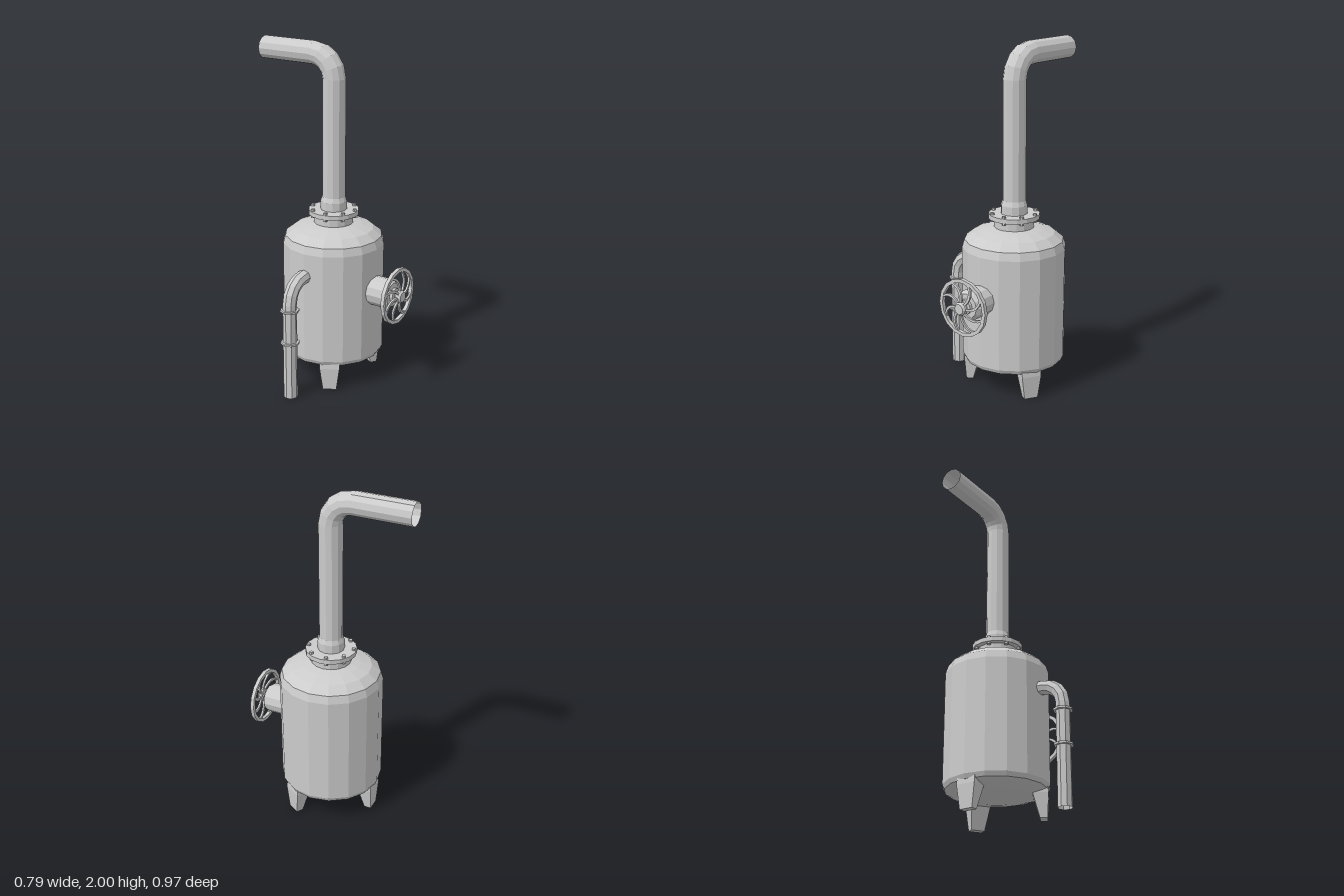
import * as THREE from 'three';

const grey = new THREE.MeshStandardMaterial({ color: 0xcccccc, flatShading: true });
const thin = new THREE.MeshStandardMaterial({ color: 0xcccccc, flatShading: true, side: THREE.DoubleSide });

function add(parent, name, geometry, material = grey) {
  const mesh = new THREE.Mesh(geometry, material);
  mesh.name = name;
  parent.add(mesh);
  return mesh;
}

// Revolved solid from [radius, height] pairs, listed bottom to top
function lathe(points, sides) {
  return new THREE.LatheGeometry(points.map(([r, y]) => new THREE.Vector2(r, y)), sides);
}

// Open pipe: rises by `rise`, bends towards +x, then runs on by `run`
function bentPipe(radius, sides, rise, bend, run, steps) {
  const rows = steps + 2;
  const geo = new THREE.CylinderGeometry(radius, radius, rows, sides, rows, true);
  const pos = geo.attributes.position;
  for (let i = 0; i < pos.count; i++) {
    const row = Math.round(pos.getY(i) + rows / 2);
    const a = THREE.MathUtils.clamp((row - 1) / steps, 0, 1) * Math.PI / 2;
    let cx = bend * (1 - Math.cos(a));
    let cy = rise + bend * Math.sin(a);
    if (row === 0) cy = 0;
    if (row === rows) cx += run;
    const off = pos.getX(i);
    pos.setXY(i, cx + off * Math.cos(a), cy - off * Math.sin(a));
  }
  geo.computeVertexNormals();
  return geo;
}

// Curved spoke, swept backwards and dished towards the hub
function spokeGeometry() {
  const left = [], right = [], n = 6;
  for (let i = 0; i <= n; i++) {
    const t = i / n, r = 0.025 + 0.125 * t, a = 0.55 * t * t;
    const half = (0.006 + 0.004 * t) / r;
    left.push(new THREE.Vector2(r * Math.cos(a + half), r * Math.sin(a + half)));
    right.unshift(new THREE.Vector2(r * Math.cos(a - half), r * Math.sin(a - half)));
  }
  const geo = new THREE.ExtrudeGeometry(new THREE.Shape([...left, ...right]), { depth: 0.012, bevelEnabled: false });
  const pos = geo.attributes.position;
  for (let i = 0; i < pos.count; i++) {
    const r = Math.hypot(pos.getX(i), pos.getY(i));
    pos.setZ(i, pos.getZ(i) + 0.44 + 0.022 * (1 - r / 0.15));
  }
  return geo;
}

// Tapered leg, outer face nearly upright, placed outwards along +z
function legGeometry() {
  const geo = new THREE.BoxGeometry(1, 1, 1, 1, 2, 1);
  const pos = geo.attributes.position;
  const levels = [[0, 0.04, 0.238, 0.28], [0.135, 0.058, 0.2, 0.287], [0.175, 0.058, 0.2, 0.283]];
  for (let i = 0; i < pos.count; i++) {
    const [y, half, inner, outer] = levels[Math.round(2 * pos.getY(i) + 1)];
    pos.setXYZ(i, Math.sign(pos.getX(i)) * half, y, pos.getZ(i) > 0 ? outer : inner);
  }
  return geo;
}

export function createModel() {
  const model = new THREE.Group();
  model.name = 'boiler';

  // Everything but the side pipe is centred on the tank axis
  const body = new THREE.Group();
  body.name = 'tankAssembly';
  body.position.x = 0.095;
  model.add(body);

  add(body, 'tank', lathe([
    [0, 0.108], [0.11, 0.114], [0.2, 0.13], [0.26, 0.148], [0.288, 0.16], [0.3, 0.185],
    [0.3, 0.84], [0.286, 0.886], [0.235, 0.926], [0.17, 0.945], [0.116, 0.956], [0, 0.956]], 16));

  // Neck, bolted flange and chimney collar
  add(body, 'neck', lathe([[0.116, 0.94], [0.116, 1.01]], 16));
  add(body, 'flange', lathe([[0, 1.008], [0.148, 1.008], [0.148, 1.035], [0, 1.035]], 16));
  for (let i = 0; i < 8; i++) {
    const a = (i * 45 + 13) * Math.PI / 180;
    const bolt = add(body, 'bolt', new THREE.CylinderGeometry(0.012, 0.012, 0.052, 6));
    bolt.position.set(0.131 * Math.cos(a), 1.021, -0.131 * Math.sin(a));
  }
  add(body, 'collar', lathe([[0.077, 1.03], [0.077, 1.085], [0.066, 1.115]], 12));

  // Chimney, bent towards the back
  const chimney = add(body, 'chimney', bentPipe(0.067, 12, 0.75, 0.133, 0.352, 4), thin);
  chimney.position.y = 1.05;
  chimney.rotation.y = Math.PI / 2;

  // Three legs, one at the back
  for (const turn of [1, 3, 5]) {
    add(body, 'leg', legGeometry()).rotation.y = turn * Math.PI / 3;
  }

  // Valve on the front with its handwheel
  const valve = new THREE.Group();
  valve.name = 'valve';
  valve.position.y = 0.59;
  body.add(valve);
  const turned = (name, points, sides) =>
    add(valve, name, lathe(points, sides).rotateX(Math.PI / 2));
  turned('valveBody', [[0.087, 0.26], [0.087, 0.395], [0.072, 0.418], [0, 0.418]], 12);
  turned('valveCollar', [[0.042, 0.41], [0.042, 0.436], [0, 0.436]], 12);
  turned('valveStem', [[0.02, 0.43], [0.02, 0.46]], 8);
  turned('wheelRim', [[0.146, 0.434], [0.167, 0.434], [0.167, 0.456], [0.146, 0.456], [0.146, 0.434]], 16);
  turned('wheelHub', [[0, 0.452], [0.038, 0.452], [0.038, 0.472], [0.03, 0.483], [0, 0.483]], 12);
  for (let i = 0; i < 8; i++) {
    add(valve, 'wheelSpoke', spokeGeometry()).rotation.z = i * Math.PI / 4;
  }

  // Drain pipe on the right side, with two clamp rings
  const side = new THREE.Group();
  side.name = 'sidePipe';
  side.position.x = -0.341;
  model.add(side);
  add(side, 'drainPipe', bentPipe(0.041, 8, 0.584, 0.12, 0.06, 4), thin);
  for (const y of [0.545, 0.345]) {
    add(side, 'clampRing', new THREE.CylinderGeometry(0.055, 0.055, 0.012, 8, 1, true), thin).position.y = y;
    for (const s of [-1, 1]) {
      const face = add(side, 'clampFace', new THREE.RingGeometry(0.04, 0.055, 8).rotateX(-Math.PI / 2), thin);
      face.position.y = y + s * 0.006;
    }
  }
  return model;
}
